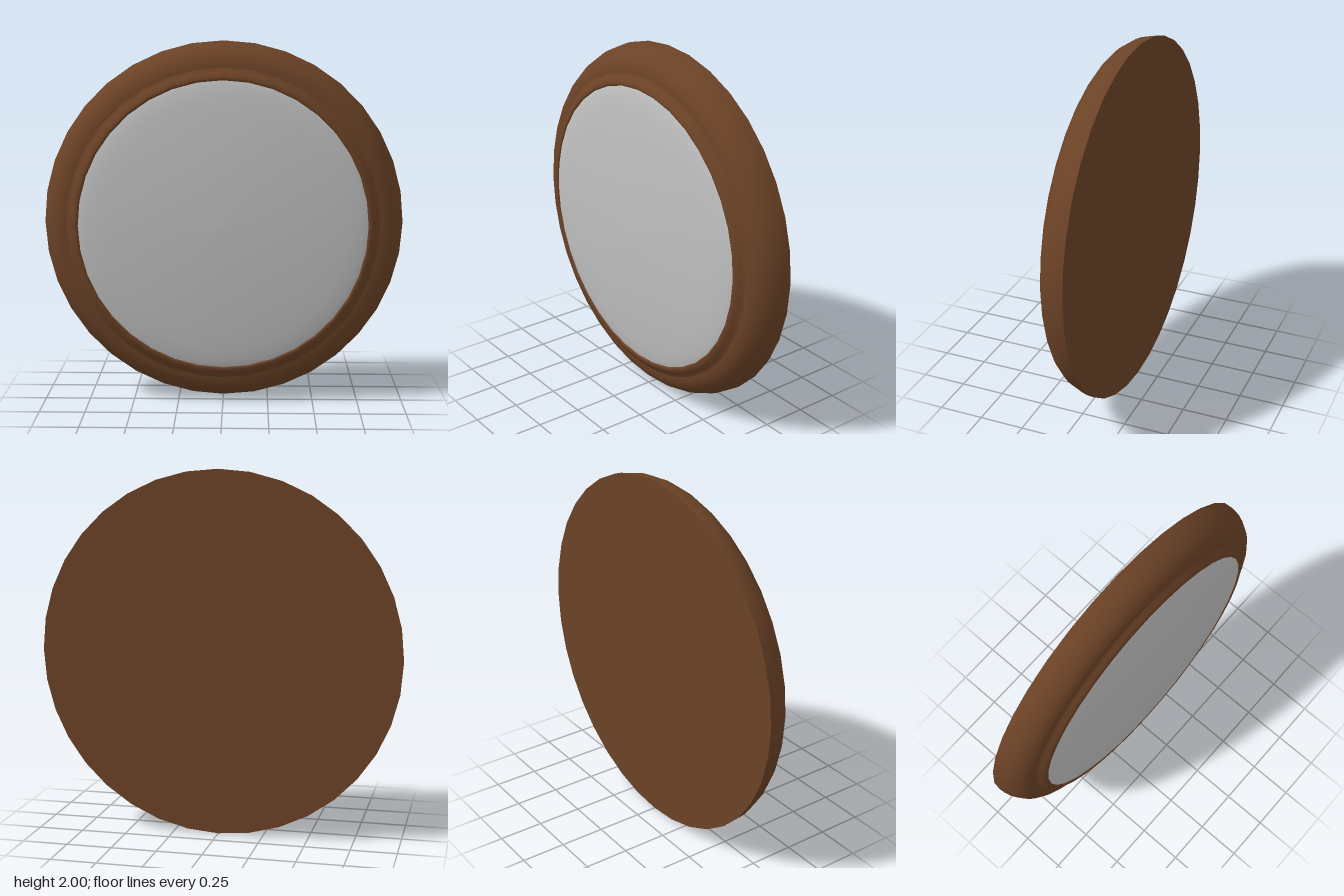
import * as THREE from 'three';

const SIDES = 36;

export function createModel() {
  const group = new THREE.Group();
  const wood = new THREE.MeshStandardMaterial({ color: 0x6b4226 });
  wood.name = 'brown wood';
  const silver = new THREE.MeshStandardMaterial({ color: 0xc0c0c0 });
  silver.name = 'silver face';

  const add = (name, geometry, material) => {
    const mesh = new THREE.Mesh(geometry, material);
    mesh.name = name;
    mesh.position.y = 1;
    group.add(mesh);
  };

  // Turns a [radius, z] profile, listed from back to front, about the z axis
  const turn = (profile) => new THREE.LatheGeometry(
    profile.map(([r, z]) => new THREE.Vector2(r, z)), SIDES).rotateX(Math.PI / 2);

  // Flat back of the frame
  add('backPlate', new THREE.CircleGeometry(1, SIDES).rotateY(Math.PI).translate(0, 0, -0.13), wood);

  // Quarter-round outer frame
  const round = [];
  for (let i = 0; i <= 8; i++) {
    const a = (i / 8) * Math.PI / 2;
    round.push([0.86 + 0.14 * Math.cos(a), -0.13 + 0.174 * Math.sin(a)]);
  }
  add('outerFrame', turn(round), wood);

  // Small raised bead around the face, dipping inwards to meet it
  add('innerBead', turn([
    [0.86, 0.044], [0.846, 0.051], [0.835, 0.062], [0.822, 0.071],
    [0.81, 0.076], [0.8, 0.077], [0.794, 0.072], [0.79, 0.06],
  ]), wood);

  // Shallow domed face
  add('domedFace', turn([
    [0.795, 0.07], [0.76, 0.081], [0.69, 0.091], [0.6, 0.1], [0.48, 0.11],
    [0.34, 0.119], [0.18, 0.126], [0, 0.13],
  ]), silver);

  return group;
}
